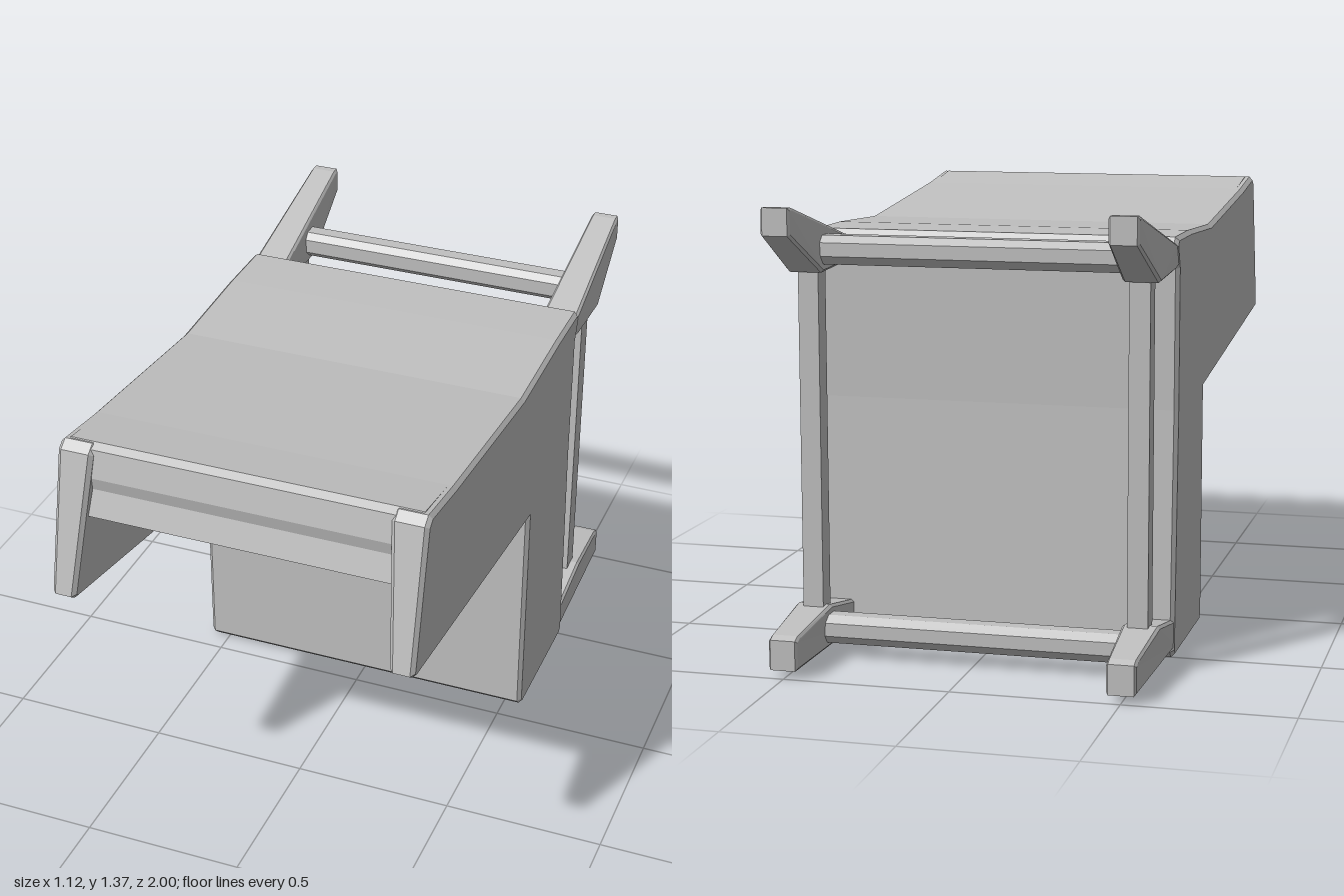
import * as THREE from 'three';

// Extrudes a (z, y) profile along x from x0 to x1, with optional chamfered edges
function prism(points, x0, x1, bevel = 0) {
  const shape = new THREE.Shape(points.map(([z, y]) => new THREE.Vector2(-z, y)));
  const geo = new THREE.ExtrudeGeometry(shape, {
    depth: x1 - x0 - 2 * bevel,
    bevelEnabled: bevel > 0,
    bevelThickness: bevel,
    bevelSize: bevel,
    bevelOffset: -bevel,
    bevelSegments: 1,
  });
  geo.translate(0, 0, x0 + bevel);
  geo.rotateY(Math.PI / 2);
  return geo;
}

// Moves x of every vertex by a rule, then refreshes the flat normals
function reshapeX(geo, rule) {
  const p = geo.attributes.position;
  for (let i = 0; i < p.count; i++) p.setX(i, rule(p.getX(i), p.getY(i), p.getZ(i)));
  geo.computeVertexNormals();
  return geo;
}

export function createModel() {
  const model = new THREE.Group();
  const grey = new THREE.MeshStandardMaterial({ color: 0xc0c0c0, flatShading: true });
  grey.name = 'plain grey';

  const add = (name, geo, parent = model) => {
    const mesh = new THREE.Mesh(geo, grey);
    mesh.name = name;
    parent.add(mesh);
    return mesh;
  };

  // Shared outline of the trunk's back and the hood's top
  const backAndTop = [
    [-0.08, 0], [-0.5, 0], [-0.52, 0.02], [-0.49, 0.75], [-0.49, 1.17], [-0.52, 1.24],
    [-0.5, 1.265], [-0.3, 1.265], [0.05, 1.25], [0.67, 1.31],
  ];

  // Trunk and overhanging roof in one piece, with a slightly creased front lip
  add('trunkAndRoof', prism([
    [-0.06, 0.02], ...backAndTop, [0.86, 1.338], [0.885, 1.325],
    [0.903, 1.24], [0.895, 1.2], [0.92, 1.12], [-0.06, 0.97],
  ], -0.535, 0.535));

  // Side panels, reaching down beside the open hood and narrowing to the tips
  for (const side of [-1, 1]) {
    const panel = prism([
      [-0.06, 0.02], ...backAndTop, [0.87, 1.337], [0.9, 1.315],
      [1.0, 0.88], [0.98, 0.865], [-0.06, 0.75],
    ], 0.45, 0.56, 0.012);
    const rearInner = side < 0 ? 0.42 : 0.46;
    reshapeX(panel, (x, y, z) => {
      if (x > 0.5 || y > 1.15 || z < -0.1) return x;
      return x + (z > 0.5 ? 0.035 : rearInner - 0.45);
    });
    // Mirror the right panel by turning it round and restoring the winding
    if (side < 0) mirror(panel);
    add(side > 0 ? 'leftSidePanel' : 'rightSidePanel', panel);
  }

  // Rear frame: two arms and one post on each side
  const frame = new THREE.Group();
  frame.name = 'rearFrame';
  model.add(frame);
  const upperArm = [
    [-0.47, 1.18], [-0.52, 1.17], [-0.75, 1.16], [-1, 1.29], [-1, 1.37], [-0.975, 1.37],
    [-0.52, 1.25], [-0.47, 1.24],
  ];
  const lowerArm = [
    [-0.47, 0.025], [-1, 0.025], [-1, 0.115], [-0.975, 0.125], [-0.72, 0.155], [-0.47, 0.11],
  ];
  for (const side of [-1, 1]) {
    const word = side > 0 ? 'left' : 'right';
    for (const [name, profile] of [['UpperArm', upperArm], ['LowerArm', lowerArm]]) {
      const arm = prism(profile, 0.445, 0.557, 0.008);
      reshapeX(arm, (x, y, z) => 0.501 + (x - 0.501) * (z < -0.9 ? 0.78 : 1));
      if (side < 0) mirror(arm);
      add(word + name, arm, frame);
    }
    add(word + 'Post', new THREE.BoxGeometry(0.062, 1.06, 0.065), frame)
      .position.set(side * 0.495, 0.66, -0.713);
  }

  // Chamfered cross rails between the arms
  const rail = (y) => prism([
    [-0.68, y - 0.025], [-0.7, y - 0.045], [-0.75, y - 0.045], [-0.77, y - 0.02],
    [-0.77, y + 0.02], [-0.745, y + 0.04], [-0.7, y + 0.04], [-0.68, y + 0.02],
  ], -0.48, 0.48);
  add('upperRail', rail(1.23), frame);
  add('lowerRail', rail(0.09), frame);

  return model;
}

// Reflects a non-indexed geometry across x = 0, keeping its faces outward
function mirror(geo) {
  geo.scale(-1, 1, 1);
  const p = geo.attributes.position;
  const a = new THREE.Vector3(), b = new THREE.Vector3();
  for (let i = 0; i < p.count; i += 3) {
    a.fromBufferAttribute(p, i + 1);
    b.fromBufferAttribute(p, i + 2);
    p.setXYZ(i + 1, b.x, b.y, b.z);
    p.setXYZ(i + 2, a.x, a.y, a.z);
  }
  geo.computeVertexNormals();
}
